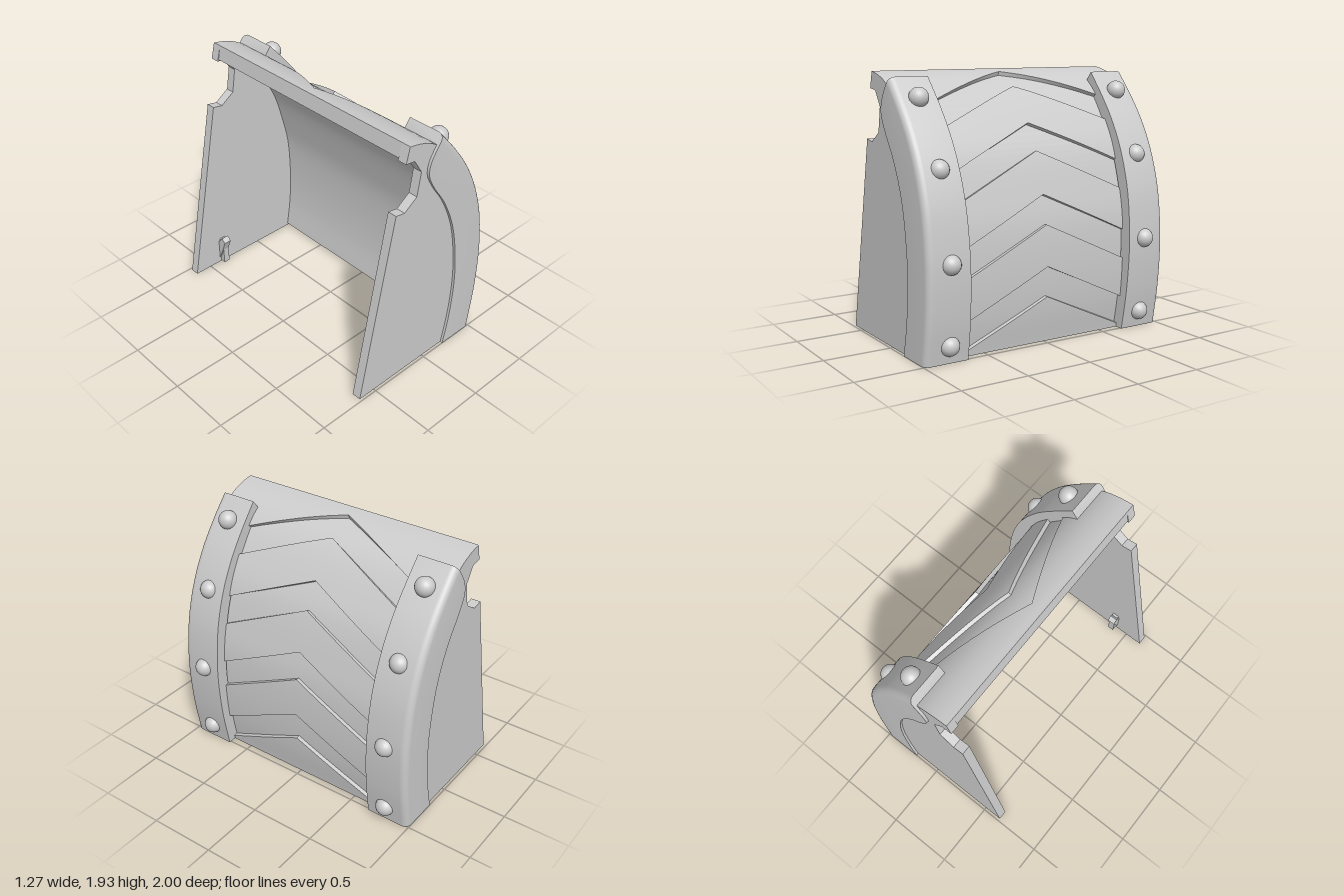
import * as THREE from 'three';
import { toCreasedNormals } from 'three/addons/utils/BufferGeometryUtils.js';

const grey = new THREE.MeshStandardMaterial({ color: 0xcccccc });
const greyDouble = new THREE.MeshStandardMaterial({ color: 0xcccccc, side: THREE.DoubleSide });

const curve = (pts) => {
  const c = new THREE.CatmullRomCurve3(pts.map(([x, y]) => new THREE.Vector3(x, y, 0)));
  c.arcLengthDivisions = 600;
  return c;
};

// Side profiles, all running from the bottom up
const shellCurve = curve([[0.45, 0], [0.487, 0.25], [0.5, 0.55], [0.482, 0.86], [0.437, 1.07],
  [0.345, 1.37], [0.24, 1.56], [0.12, 1.73], [0.04, 1.81], [-0.06, 1.875], [-0.17, 1.915], [-0.25, 1.93]]);
const trimOuter = curve([[0.515, 0], [0.56, 0.3], [0.578, 0.6], [0.57, 0.8], [0.53, 1.07],
  [0.445, 1.33], [0.335, 1.54], [0.22, 1.7], [0.05, 1.9]]);
const trimInner = curve([[0.21, 0], [0.26, 0.25], [0.285, 0.55], [0.27, 0.8], [0.21, 1.1],
  [0.1, 1.35], [-0.02, 1.53], [-0.075, 1.65], [-0.06, 1.74], [0, 1.835]]);
const shellLength = shellCurve.getLength();

// Point on the shell profile, moved by d along the outward normal
function shellPoint(u, d = 0) {
  const s = THREE.MathUtils.clamp(u, 0, 1);
  const p = shellCurve.getPointAt(s), t = shellCurve.getTangentAt(s);
  return new THREE.Vector2(p.x + t.y * d, Math.max(0, p.y - t.x * d));
}

function uAtHeight(y) {
  let lo = 0, hi = 1;
  for (let i = 0; i < 30; i++) {
    const mid = (lo + hi) / 2;
    if (shellCurve.getPointAt(mid).y < y) lo = mid; else hi = mid;
  }
  return lo;
}

// Skin a list of cross-sections; capShapes closes both ends
function loft(rings, { closed = false, flip = false, capShapes = [] } = {}) {
  const n = rings[0].length, index = [];
  const tri = (a, b, c) => (flip ? index.push(a, c, b) : index.push(a, b, c));
  for (let i = 0; i < rings.length - 1; i++) {
    for (let j = 0; j < (closed ? n : n - 1); j++) {
      const a = i * n + j, b = i * n + (j + 1) % n;
      tri(a, a + n, b + n);
      tri(a, b + n, b);
    }
  }
  capShapes.forEach((shape, k) => {
    const base = k * (rings.length - 1) * n;
    for (const [a, b, c] of THREE.ShapeUtils.triangulateShape(shape, [])) tri(base + a, base + b, base + c);
  });
  const g = new THREE.BufferGeometry();
  g.setAttribute('position', new THREE.Float32BufferAttribute(rings.flat().flatMap((p) => p.toArray()), 3));
  g.setIndex(index);
  return toCreasedNormals(g, 0.6);
}

function extrude(points, z0, z1) {
  const g = new THREE.ExtrudeGeometry(new THREE.Shape(points), { depth: z1 - z0, bevelEnabled: false });
  g.translate(0, 0, z0);
  return toCreasedNormals(g, 0.4);
}

// Raised V-shaped band between two positions on the shell, given at the centre line
function chevronGeometry(uLow, uHigh) {
  const cols = 56, rows = 14, half = 0.975, rings = [];
  for (let i = 0; i <= cols; i++) {
    const z = -half + (2 * half * i) / cols;
    const drop = (0.47 * Math.abs(z)) / shellLength;
    const lo = Math.max(0, uLow - drop), hi = uHigh >= 1 ? 1 : Math.max(0, uHigh - drop);
    const at = (u, d) => { const p = shellPoint(u, d); return new THREE.Vector3(p.x, p.y, z); };
    const ring = [at(hi, -0.04)];
    for (let j = 0; j <= rows; j++) ring.push(at(hi + ((lo - hi) * j) / rows, 0));
    ring.push(at(lo, -0.04));
    rings.push(ring);
  }
  return loft(rings);
}

// Edge trim: an L-shaped section with a rounded corner, swept up the side
function trimGeometry(side) {
  const steps = 48, r = 0.05, rings = [], shapes = [];
  for (let i = 0; i <= steps; i++) {
    const u = i / steps, p = trimOuter.getPointAt(u), q = trimInner.getPointAt(u);
    const width = p.distanceTo(q), dir = q.clone().sub(p).normalize();
    const depth = Math.min(0.1, width * 0.9), zIn = 0.665 + 0.035 * u;
    const section = [[depth, zIn], [0, zIn]];
    for (let k = 0; k <= 6; k++) {
      const a = (k / 6) * Math.PI / 2;
      section.push([r - r * Math.cos(a), 1 - r + r * Math.sin(a)]);
    }
    section.push([width, 1], [width, 0.965], [depth, 0.965]);
    rings.push(section.map(([o, z]) => new THREE.Vector3(p.x + dir.x * o, Math.max(0, p.y + dir.y * o), side * z)));
    shapes.push(section.map(([o, z]) => new THREE.Vector2(o, z)));
  }
  return loft(rings, { closed: true, flip: side < 0, capShapes: [shapes[0], shapes[steps]] });
}

export function createModel() {
  const model = new THREE.Group();
  const add = (name, geometry, material = grey) => {
    const mesh = new THREE.Mesh(geometry, material);
    mesh.name = name;
    model.add(mesh);
    return mesh;
  };

  // Curved front shell
  const N = 48, outer = [], inner = [], edge = [];
  for (let i = 0; i <= N; i++) {
    outer.push(shellPoint(i / N, -0.03));
    inner.unshift(shellPoint(i / N, -0.11));
    edge.push(shellPoint(i / N, -0.002));
  }
  add('shell', extrude([...outer, ...inner], -0.97, 0.97));

  // Raised chevron bands, lower and upper height at the centre line
  [[0, 0.34], [0.56, 0.86], [1.07, 1.37], [1.56, 1.81], [1.91, 1.93]].forEach(([low, high], i) => {
    add(`chevronBand${i + 1}`, chevronGeometry(uAtHeight(low), high < 1.93 ? uAtHeight(high) : 1));
  });

  // Side plate with the notch behind the top edge
  const notch = [[-0.28, 1.81], [-0.2, 1.8], [-0.13, 1.69], [-0.16, 1.51], [-0.27, 1.435], [-0.35, 1.45]];
  const plate = [new THREE.Vector2(-0.64, 0), ...edge, ...notch.map(([x, y]) => new THREE.Vector2(x, y))];

  for (const side of [1, -1]) {
    const label = side > 0 ? 'Left' : 'Right';
    add(`sidePlate${label}`, side > 0 ? extrude(plate, 0.91, 0.98) : extrude(plate, -0.98, -0.91));
    add(`edgeTrim${label}`, trimGeometry(side), greyDouble);

    // Rivets on the trim
    [[0.18, 1.765, 0.84], [0.435, 1.305, 0.83], [0.565, 0.69, 0.82], [0.525, 0.125, 0.815]].forEach(([x, y, z], i) => {
      add(`rivet${label}${i + 1}`, new THREE.SphereGeometry(0.07, 24, 16)).position.set(x, y, side * z);
    });

    // Small clip inside the plate: a stem and an outward-leaning tongue
    add(`clipStem${label}`, new THREE.BoxGeometry(0.05, 0.22, 0.05)).position.set(-0.365, 0.12, side * 0.89);
    const tongue = new THREE.Shape([[0, 0.03], [0.05, 0.14], [0.085, 0.23], [0.05, 0.26], [0, 0.2]]
      .map(([x, y]) => new THREE.Vector2(x, y)));
    const clip = add(`clipTongue${label}`, new THREE.ExtrudeGeometry(tongue, { depth: 0.06, bevelEnabled: false }));
    clip.rotation.y = side * Math.PI / 2;
    clip.position.set(side > 0 ? -0.4 : -0.34, 0, side * 0.915);
  }
  return model;
}
